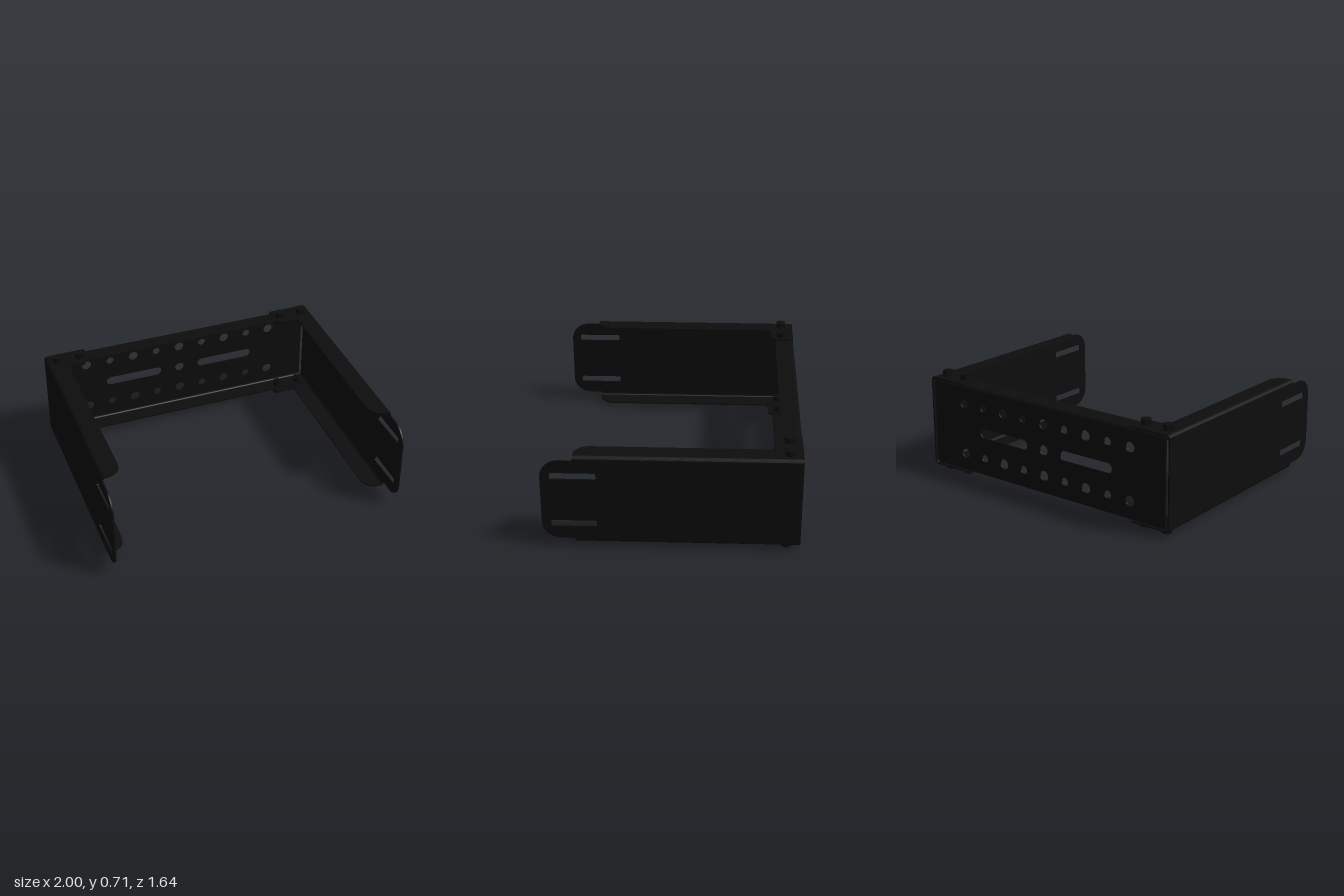
import * as THREE from 'three';
import { toCreasedNormals } from 'three/addons/utils/BufferGeometryUtils.js';

const T = 0.01;                 // sheet thickness
const R = 0.025;                // outer bend radius
const MID = 0.354;              // mid height
const SIDE_H = 0.316;           // half height of side brackets
const BACK_H = SIDE_H - T;      // back bracket nests inside
const BACK_Z = -0.82;

const black = new THREE.MeshStandardMaterial({ color: 0x0d0d0d });

function add(group, name, geometry) {
  const mesh = new THREE.Mesh(geometry, black);
  mesh.name = name;
  group.add(mesh);
  return mesh;
}

function extrude(shape, depth) {
  const g = new THREE.ExtrudeGeometry(shape, { depth, bevelEnabled: false, curveSegments: 12 });
  return toCreasedNormals(g, 0.6);
}

// Sheet lying flat, drawn in (x, z), with its upper face at y = top
const flat = (shape, top) => extrude(shape, T).rotateX(Math.PI / 2).translate(0, top, 0);

// Quarter-ring profile of a folded edge, starting at angle a
function bend(cx, cy, a, length) {
  const s = new THREE.Shape();
  s.absarc(cx, cy, R, a, a + Math.PI / 2, false);
  s.absarc(cx, cy, R - T, a + Math.PI / 2, a, true);
  s.closePath();
  return extrude(s, length);
}

function circle(x, y, r) {
  return new THREE.Path().absarc(x, y, r, 0, Math.PI * 2, true);
}

// Horizontal slot with corner radius r
function slot(x0, x1, y0, y1, r) {
  const p = new THREE.Path();
  p.absarc(x0 + r, y0 + r, r, -Math.PI / 2, -Math.PI, true);
  p.absarc(x0 + r, y1 - r, r, Math.PI, Math.PI / 2, true);
  p.absarc(x1 - r, y1 - r, r, Math.PI / 2, 0, true);
  p.absarc(x1 - r, y0 + r, r, 0, -Math.PI / 2, true);
  p.closePath();
  return p;
}

// Side bracket built at +x, with local y = 0 at mid height
function sideBracket(name) {
  const g = new THREE.Group();
  g.name = name;
  const h = SIDE_H - R, t = 0.285, r = 0.12, front = -0.82, step = -0.615;

  // Web with slotted, rounded tongue, drawn in (-z, y)
  const web = new THREE.Shape();
  web.moveTo(0.82, -h);
  web.lineTo(0.82, h);
  web.lineTo(step, h);
  web.lineTo(step, t);
  web.absarc(front + r, t - r, r, Math.PI / 2, Math.PI, false);
  web.absarc(front + r, -t + r, r, Math.PI, Math.PI * 1.5, false);
  web.lineTo(step, -t);
  web.lineTo(step, -h);
  web.closePath();
  for (const y of [-0.174, 0.174]) web.holes.push(slot(-0.76, -0.47, y - 0.023, y + 0.023, 0.006));
  add(g, 'sideWeb', extrude(web, T).rotateY(Math.PI / 2).translate(1 - T, 0, 0));

  // Flange with a wider tab at the back corner
  const fl = new THREE.Shape();
  fl.moveTo(1 - R, BACK_Z);
  fl.lineTo(1 - R, 0.612);
  fl.lineTo(0.965, 0.612);
  fl.absarc(0.965, 0.512, 0.1, Math.PI / 2, Math.PI, false);
  fl.lineTo(0.865, -0.63);
  fl.quadraticCurveTo(0.865, -0.66, 0.835, -0.66);
  fl.lineTo(0.76, -0.66);
  fl.absarc(0.76, -0.71, 0.05, Math.PI / 2, Math.PI, false);
  fl.lineTo(0.71, BACK_Z);
  fl.closePath();
  add(g, 'topFlange', flat(fl, SIDE_H));
  add(g, 'bottomFlange', flat(fl, -SIDE_H + T));

  const length = 0.612 - BACK_Z;
  add(g, 'topBend', bend(1 - R, h, 0, length).translate(0, 0, BACK_Z));
  add(g, 'bottomBend', bend(1 - R, -h, -Math.PI / 2, length).translate(0, 0, BACK_Z));
  return g;
}

// Perforated back bracket, local y = 0 at mid height
function backBracket() {
  const g = new THREE.Group();
  g.name = 'backBracket';
  const w = 0.97, h = BACK_H - R;

  const web = new THREE.Shape();
  web.moveTo(-w, -h);
  web.lineTo(w, -h);
  web.lineTo(w, h);
  web.lineTo(-w, h);
  web.closePath();
  for (let i = -4; i <= 4; i++) {
    for (const y of [-0.177, 0.177]) web.holes.push(circle(i * 0.175, y, i % 2 ? 0.028 : 0.035));
  }
  web.holes.push(circle(0, 0, 0.035));
  web.holes.push(slot(-0.56, -0.14, -0.034, 0.034, 0.0335), slot(0.14, 0.56, -0.034, 0.034, 0.0335));
  add(g, 'backWeb', extrude(web, T).translate(0, 0, BACK_Z));

  // Folded flanges along the top and bottom
  const depth = 0.13 - R;
  for (const s of [1, -1]) {
    const label = s > 0 ? 'backTop' : 'backBottom';
    const flange = new THREE.BoxGeometry(2 * w, T, depth);
    flange.translate(0, s * (BACK_H - T / 2), BACK_Z + R + depth / 2);
    add(g, label + 'Flange', flange);
    const fold = bend(-BACK_Z - R, s * h, s > 0 ? 0 : -Math.PI / 2, 2 * w);
    add(g, label + 'Bend', fold.rotateY(Math.PI / 2).translate(-w, 0, 0));
  }
  return g;
}

// Hex bolt through both flanges, pointing up
function bolt() {
  const g = new THREE.Group();
  g.name = 'bolt';
  const hex = (name, y0, y1) => {
    const geo = new THREE.CylinderGeometry(0.036, 0.036, y1 - y0, 6).toNonIndexed();
    geo.rotateY(Math.PI / 6).translate(0, (y0 + y1) / 2, 0);
    geo.computeVertexNormals();
    add(g, name, geo);
  };
  hex('boltHead', SIDE_H, 0.354);
  hex('nut', BACK_H - T - 0.035, BACK_H - T);
  add(g, 'boltShank', new THREE.CylinderGeometry(0.02, 0.02, 0.08, 16).translate(0, 0.292, 0));
  return g;
}

export function createModel() {
  const model = new THREE.Group();
  model.name = 'mountingBracket';
  const body = new THREE.Group();
  body.name = 'body';
  body.position.y = MID;
  model.add(body);

  body.add(backBracket());
  body.add(sideBracket('leftBracket'));
  const right = sideBracket('rightBracket');
  right.rotation.z = Math.PI;
  body.add(right);

  // Two bolts per corner, top and bottom
  for (const x of [-0.925, -0.76, 0.76, 0.925]) {
    for (const flip of [0, Math.PI]) {
      const b = bolt();
      b.position.set(x, 0, -0.735);
      b.rotation.z = flip;
      body.add(b);
    }
  }
  return model;
}
